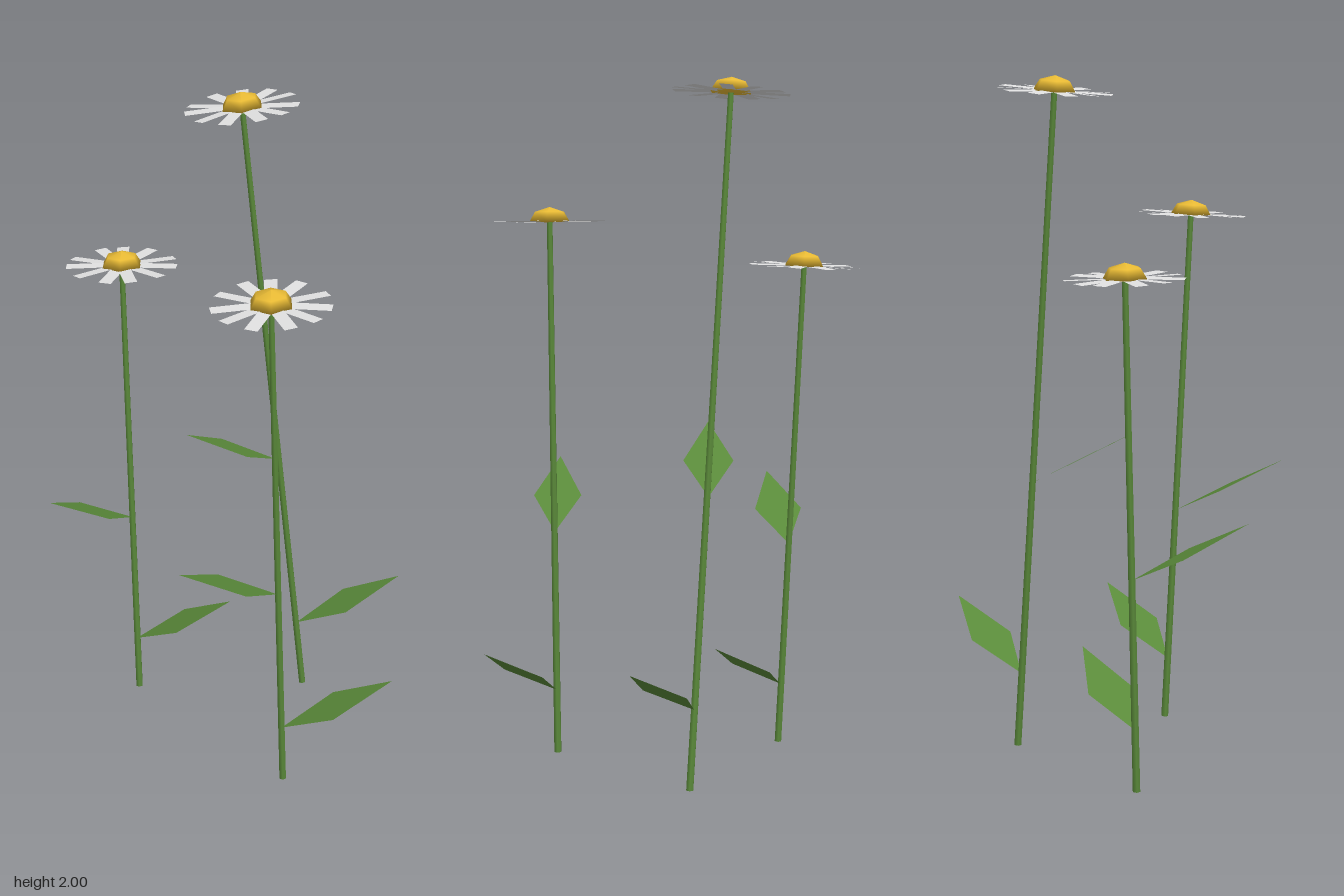
import * as THREE from 'three';

const mat = (name, color, side = THREE.FrontSide) => {
  const m = new THREE.MeshStandardMaterial({ color, side });
  m.name = name;
  return m;
};
const V = (p) => new THREE.Vector3(...p);

// base and head of each stem, petal angles in degrees, leaves as [root, tip]
const FLOWERS = [
  {
    base: [-0.3, 0, -0.25], head: [-0.325, 1.46, -0.31],
    petals: [92, 59, 20, -6, -42, -77, -104, -140, -175, 157, 117],
    leaves: [[[-0.305, 0.18, -0.255], [0.0, 0.35, -0.21]], [[-0.31, 0.62, -0.275], [-0.545, 0.79, -0.055]]],
  },
  {
    base: [0.237, 0, -0.278], head: [0.032, 1.957, -0.275],
    petals: [90, 58, 27, -11, -42, -70, -107, -138, -173, 160, 123],
    leaves: [[[0.215, 0.23, -0.278], [0.54, 0.405, -0.283]], [[0.14, 0.83, -0.275], [-0.13, 1.0, -0.1]]],
  },
  {
    base: [0.166, 0, 0.245], head: [0.114, 1.59, 0.3],
    petals: [90, 59, 21, -10, -42, -72, -109, -140, -169, 152, 118],
    leaves: [[[0.16, 0.19, 0.252], [0.485, 0.37, 0.265]], [[0.142, 0.67, 0.268], [-0.135, 0.845, 0.455]]],
  },
];

// flat diamond leaf, widest just before its middle
function leafGeometry(root, tip) {
  const a = V(root), b = V(tip);
  const across = new THREE.Vector3(b.z - a.z, 0, a.x - b.x).setLength(0.0725);
  const mid = a.clone().lerp(b, 0.47);
  const l = mid.clone().add(across), r = mid.clone().sub(across);
  const g = new THREE.BufferGeometry().setFromPoints([a, r, b, l]);
  g.setIndex([0, 2, 1, 0, 3, 2]);
  g.computeVertexNormals();
  // turn the front side upward
  if (g.attributes.normal.getY(0) < 0) {
    g.setIndex([0, 1, 2, 0, 2, 3]);
    g.computeVertexNormals();
  }
  return g;
}

export function createModel() {
  const root = new THREE.Group();
  root.name = 'daisies';
  const green = mat('stem green', 0x5a893a);
  const leafGreen = mat('leaf green', 0x5a8a3a, THREE.DoubleSide);
  const white = mat('petal white', 0xe0e0e0, THREE.DoubleSide);
  const yellow = mat('centre yellow', 0xe8ba34);

  const domeGeo = new THREE.LatheGeometry(
    [[0, -0.002], [0.064, 0], [0.046, 0.029], [0, 0.043]].map((p) => new THREE.Vector2(...p)), 6);
  const petalGeo = new THREE.PlaneGeometry(0.155, 0.037).rotateX(-Math.PI / 2).translate(0.0875, 0, 0);

  FLOWERS.forEach((f) => {
    const flower = new THREE.Group();
    flower.name = 'flower';
    const add = (parent, geo, material, name) => {
      const m = new THREE.Mesh(geo, material);
      m.name = name;
      parent.add(m);
      return m;
    };

    // leaning stem
    const base = V(f.base), head = V(f.head);
    const axis = head.clone().sub(base);
    const lean = new THREE.Quaternion().setFromUnitVectors(new THREE.Vector3(0, 1, 0), axis.clone().normalize());
    const stem = add(flower, new THREE.CylinderGeometry(0.009, 0.0115, axis.length(), 6), green, 'stem');
    stem.position.copy(base).lerp(head, 0.5);
    stem.quaternion.copy(lean);

    // flower head, square to the stem
    const bloom = new THREE.Group();
    bloom.name = 'flowerHead';
    bloom.position.copy(head);
    bloom.quaternion.copy(lean);
    add(bloom, domeGeo, yellow, 'centre');
    f.petals.forEach((deg, i) => {
      const p = add(bloom, petalGeo, white, 'petal');
      p.rotation.set(i % 2 ? 0.05 : -0.05, THREE.MathUtils.degToRad(deg), 0, 'YXZ');
      p.position.y = 0.0008 * (i % 3);
    });
    flower.add(bloom);

    f.leaves.forEach(([a, b]) => add(flower, leafGeometry(a, b), leafGreen, 'leaf'));
    root.add(flower);
  });
  return root;
}
